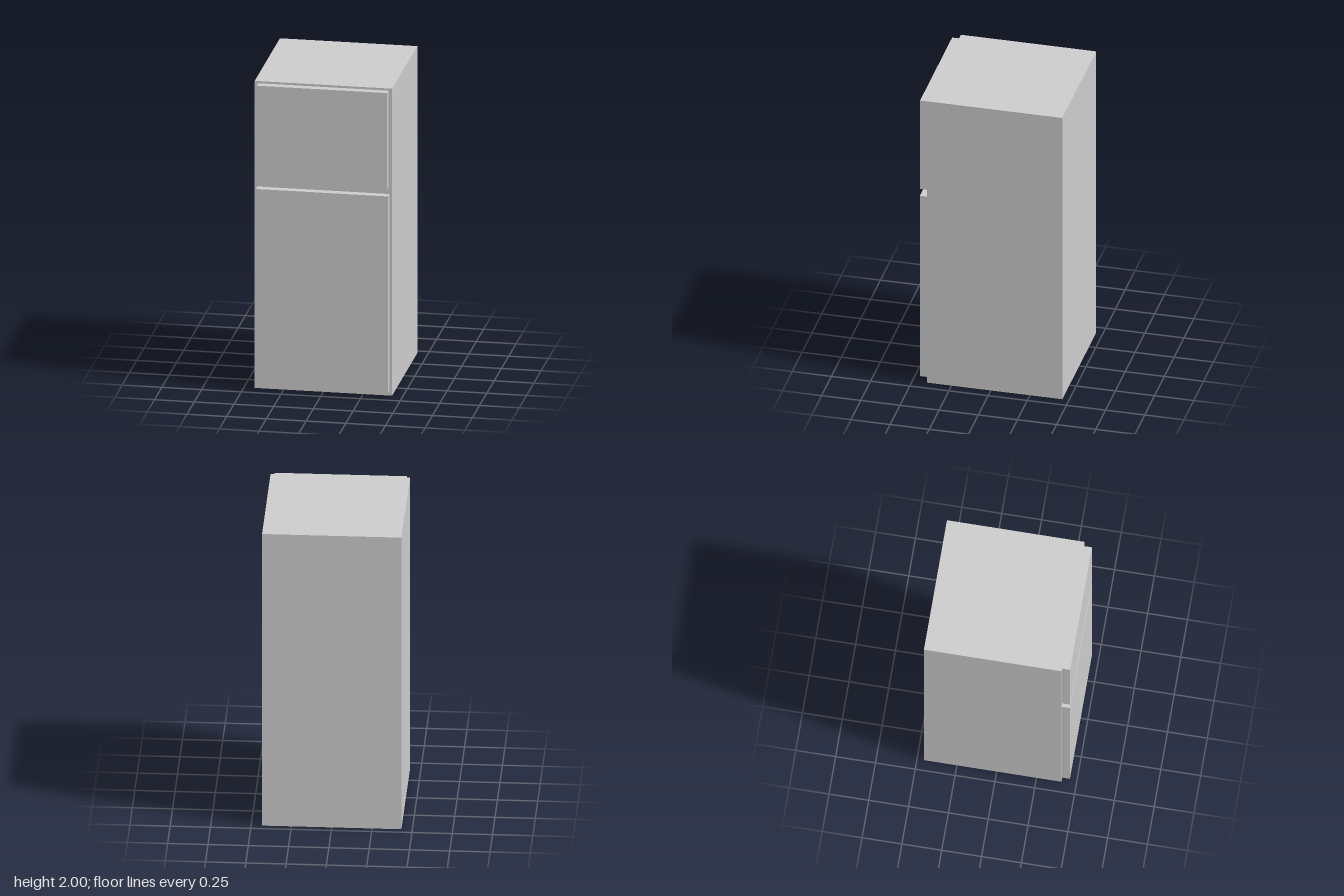
import * as THREE from 'three';

export function createModel() {
  const group = new THREE.Group();
  const material = new THREE.MeshStandardMaterial({ color: 0xcccccc, flatShading: true });

  // Box given by its width and its y and z ranges, centred on x = 0
  function addBox(name, width, [y0, y1], [z0, z1]) {
    const mesh = new THREE.Mesh(new THREE.BoxGeometry(width, y1 - y0, z1 - z0), material);
    mesh.name = name;
    mesh.position.set(0, (y0 + y1) / 2, (z0 + z1) / 2);
    group.add(mesh);
  }

  const back = -0.457, bodyFront = 0.407, doorFront = 0.457;

  // Refrigerator cabinet
  addBox('cabinet', 0.865, [0, 2], [back, bodyFront]);

  // Door slabs on the front face
  addBox('freezerDoor', 0.819, [1.357, 1.986], [bodyFront, doorFront]);
  addBox('fridgeDoor', 0.832, [0.031, 1.313], [bodyFront, doorFront]);

  return group;
}
